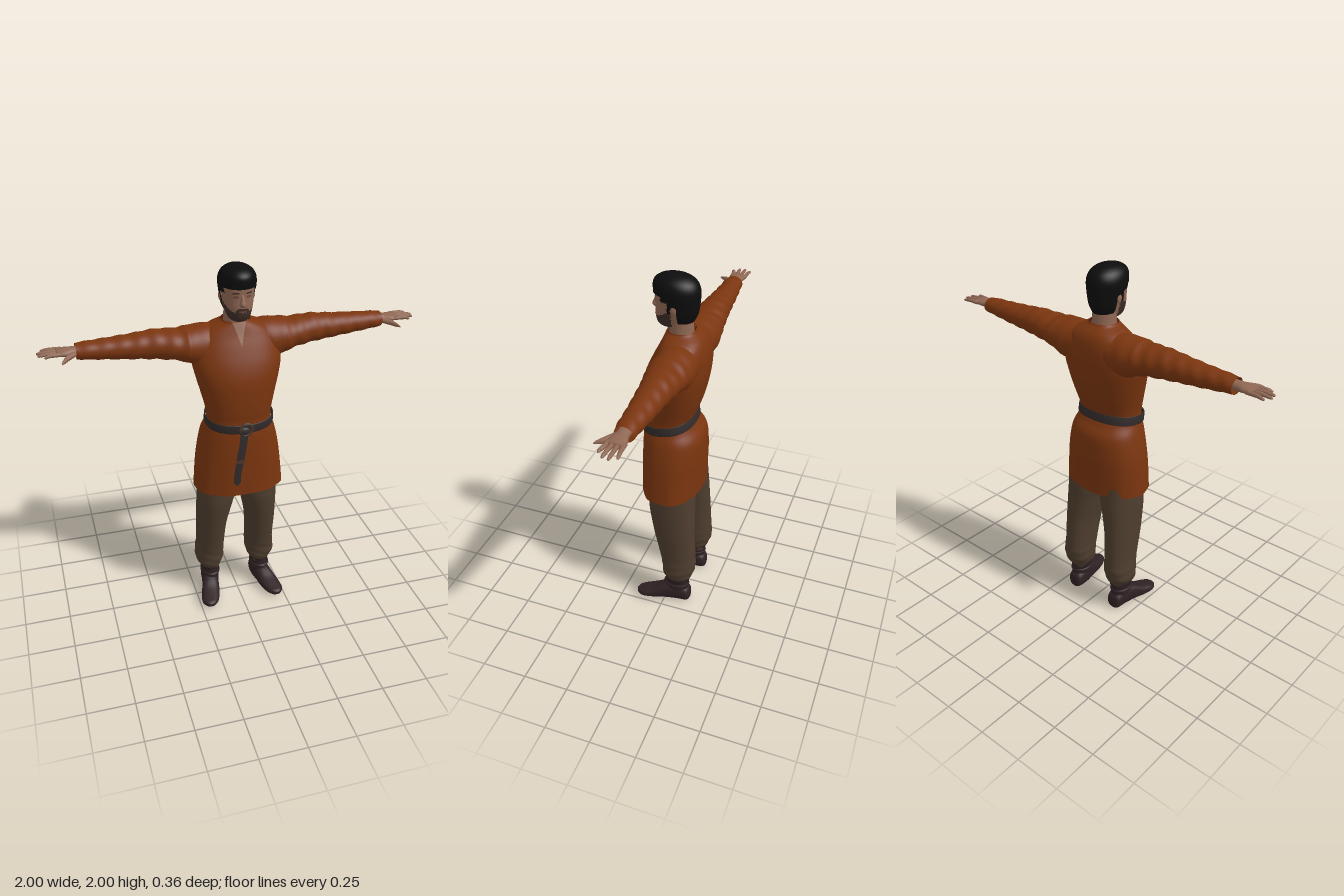
import * as THREE from 'three';

const material = (name, color, side = THREE.FrontSide) => {
  const m = new THREE.MeshStandardMaterial({ color, side });
  m.name = name;
  return m;
};

function makeMesh(name, mat, pos, idx) {
  const g = new THREE.BufferGeometry();
  g.setAttribute('position', new THREE.Float32BufferAttribute(pos, 3));
  g.setIndex(idx);
  g.computeVertexNormals();
  const mesh = new THREE.Mesh(g, mat);
  mesh.name = name;
  return mesh;
}

// Catmull-Rom refinement of a short list of cross-sections
function smooth(rows, steps = 6) {
  const out = [];
  const row = i => rows[Math.max(0, Math.min(rows.length - 1, i))];
  for (let i = 0; i < rows.length - 1; i++) {
    for (let k = 0; k < steps; k++) {
      const f = k / steps;
      out.push(row(i).map((p1, c) => {
        const p0 = row(i - 1)[c], p2 = row(i + 1)[c], p3 = row(i + 2)[c];
        return p1 + 0.5 * f * (p2 - p0 + f * (2 * p0 - 5 * p1 + 4 * p2 - p3 + f * (3 * (p1 - p2) + p3 - p0)));
      }));
    }
  }
  out.push(rows[rows.length - 1]);
  return out;
}

// Superellipse loft. Row: [position on axis, centre p, radius p, max q, min q]
// pick(x, y, z) returns a material index, or -1 to leave a face out
function loft(name, mats, rows, { axis = 'y', n = 2, seg = 32, steps = 6, caps = true, fold = () => 0, pick = () => 0 } = {}) {
  const place = { x: (t, p, q) => [t, p, q], y: (t, p, q) => [p, t, q], z: (t, p, q) => [p, q, t] }[axis];
  const rings = smooth(rows, steps), pos = [];
  const pw = v => Math.sign(v) * Math.abs(v) ** (2 / n);
  for (const [t, cp, rp, q1, q0] of rings) {
    for (let j = 0; j < seg; j++) {
      const a = j / seg * Math.PI * 2, s = 1 + fold(a, t);
      pos.push(...place(t, cp + rp * s * pw(Math.cos(a)), (q1 + q0) / 2 + (q1 - q0) / 2 * s * pw(Math.sin(a))));
    }
  }
  const faces = [mats].flat().map(() => []);
  const flip = (axis === 'y') !== (rings[0][0] > rings[rings.length - 1][0]);
  const tri = (a, b, c) => {
    const mid = k => (pos[a * 3 + k] + pos[b * 3 + k] + pos[c * 3 + k]) / 3;
    const m = pick(mid(0), mid(1), mid(2));
    if (m >= 0) faces[m].push(a, ...(flip ? [c, b] : [b, c]));
  };
  for (let i = 0; i < rings.length - 1; i++) {
    for (let j = 0; j < seg; j++) {
      const a = i * seg + j, b = i * seg + (j + 1) % seg;
      tri(a, b, a + seg);
      tri(b, b + seg, a + seg);
    }
  }
  for (const end of caps ? [0, rings.length - 1] : []) {
    const [t, cp, , q1, q0] = rings[end], c = pos.length / 3;
    pos.push(...place(t, cp, (q1 + q0) / 2));
    for (let j = 0; j < seg; j++) {
      const a = end * seg + j, b = end * seg + (j + 1) % seg;
      tri(...(end ? [a, b, c] : [b, a, c]));
    }
  }
  const mesh = makeMesh(name, mats, pos, faces.flat());
  let start = 0;
  faces.forEach((f, i) => { mesh.geometry.addGroup(start, f.length, i); start += f.length; });
  return mesh;
}

// Thin strip lying on the front of a vertical loft. Outline: [y, x0, x1], top to bottom
function strip(name, mat, rows, n, outline, lift) {
  const rings = smooth(rows), pts = smooth(outline), pos = [], idx = [], cols = 8;
  pts.forEach(([y, x0, x1], k) => {
    const i = Math.max(1, rings.findIndex(r => r[0] >= y));
    const f = (y - rings[i - 1][0]) / (rings[i][0] - rings[i - 1][0]);
    const [, cx, rx, q1, q0] = rings[i].map((v, c) => rings[i - 1][c] + (v - rings[i - 1][c]) * f);
    for (let j = 0; j <= cols; j++) {
      const x = x0 + (x1 - x0) * j / cols, u = Math.min(1, Math.abs((x - cx) / rx));
      pos.push(x, y, (q1 + q0) / 2 + (q1 - q0) / 2 * (1 - u ** n) ** (1 / n) + lift);
      const a = k * (cols + 1) + j, c = a + cols + 1;
      if (j < cols && k < pts.length - 1) idx.push(a, c, a + 1, a + 1, c, c + 1);
    }
  });
  return makeMesh(name, mat, pos, idx);
}

export function createModel() {
  const root = new THREE.Group();
  root.name = 'man';
  const add = (...m) => root.add(...m);
  const cloth = material('rust cloth', 0x7a350f, THREE.DoubleSide);
  const wool = material('brown wool', 0x4e3d2e);
  const skin = material('skin', 0x8f6753);
  const lid = material('shaded skin', 0x6a493b);
  const beard = material('beard', 0x3e2d27);
  const hair = material('black hair', 0x0d0d0d, THREE.DoubleSide);
  const leather = material('boot leather', 0x2f2123);
  const strap = material('belt leather', 0x322b2b, THREE.DoubleSide);
  const fitting = material('belt fitting', 0x4b372c);

  // Tunic body
  const tunic = [
    [0.76, 0.003, 0.247, 0.16, -0.165], [0.9, 0, 0.235, 0.16, -0.168], [1.0, 0, 0.222, 0.16, -0.17],
    [1.1, 0, 0.2, 0.158, -0.162], [1.16, 0, 0.178, 0.152, -0.125], [1.2, 0, 0.172, 0.15, -0.108],
    [1.25, 0, 0.178, 0.155, -0.122], [1.33, 0, 0.197, 0.157, -0.148], [1.42, 0, 0.22, 0.152, -0.168],
    [1.5, 0, 0.235, 0.13, -0.177], [1.58, 0, 0.225, 0.095, -0.177], [1.64, 0, 0.19, 0.065, -0.165],
    [1.675, 0, 0.14, 0.05, -0.145], [1.7, 0, 0.085, 0.04, -0.115], [1.712, 0, 0.075, 0.035, -0.105]];
  add(loft('tunic', cloth, tunic, {
    n: 2.3, seg: 64, caps: false, fold: (a, y) => 0.012 * Math.sin(a * 9 + y * 5) * Math.max(0, (1.1 - y) / 0.34) }));
  add(strip('neckOpening', skin, tunic, 2.3, [[1.71, -0.036, 0.036], [1.67, -0.022, 0.022], [1.6, -0.001, 0.001]], 0.004));

  // Belt with ring, knot and hanging tail
  const belt = loft('belt', strap, [
    [-0.024, 0, 0.181, 0.163, -0.117], [-0.021, 0, 0.185, 0.168, -0.121],
    [0.021, 0, 0.183, 0.166, -0.119], [0.024, 0, 0.179, 0.161, -0.115]], { n: 2.3, seg: 64, steps: 2, caps: false });
  belt.position.y = 1.188;
  belt.rotation.x = 0.14;
  const ring = new THREE.Mesh(new THREE.TorusGeometry(0.033, 0.007, 8, 24), fitting);
  ring.name = 'beltRing';
  ring.position.set(0.002, 1.165, 0.168);
  const knot = new THREE.Mesh(new THREE.SphereGeometry(0.03, 16, 12), strap);
  knot.name = 'beltKnot';
  knot.scale.set(1.1, 0.8, 0.5);
  knot.position.set(-0.008, 1.155, 0.163);
  add(belt, ring, knot);
  add(strip('beltTail', strap, tunic, 2.3, [[1.15, -0.03, 0.016], [1.1, -0.032, 0.01], [1.0, -0.048, -0.006],
    [0.9, -0.063, -0.025], [0.85, -0.064, -0.028], [0.828, -0.05, -0.042]], 0.008));
  add(strip('tailFitting', fitting, tunic, 2.3, [[0.985, -0.052, -0.007], [0.965, -0.054, -0.01]], 0.011));

  // Head, with the jaw coloured as beard
  const head = [
    [1.718, 0, 0.025, 0.055, -0.02], [1.732, 0, 0.048, 0.082, -0.05], [1.755, 0, 0.061, 0.095, -0.07],
    [1.8, 0, 0.073, 0.1, -0.09], [1.85, 0, 0.08, 0.098, -0.1], [1.9, 0, 0.083, 0.1, -0.11],
    [1.95, 0, 0.075, 0.09, -0.098], [1.975, 0, 0.05, 0.06, -0.07], [1.985, 0, 0.015, 0.02, -0.025]];
  add(loft('head', [skin, beard], head, {
    n: 2.2, seg: 64, pick: (x, y, z) => (z > 0 && y < 1.778 + (0.09 - z) * 0.55 ? 1 : 0) }));
  add(loft('nose', skin, [[1.808, 0, 0.01, 0.104, 0.08], [1.822, 0, 0.016, 0.121, 0.08],
    [1.845, 0, 0.011, 0.113, 0.08], [1.872, 0, 0.009, 0.1, 0.08]], { seg: 16 }));
  add(strip('moustache', beard, head, 2.2, [[1.803, -0.018, 0.018], [1.796, -0.03, 0.03], [1.778, -0.036, 0.036]], 0.003));
  add(strip('mouth', lid, head, 2.2, [[1.791, -0.02, 0.02], [1.783, -0.018, 0.018]], 0.005));
  add(loft('neck', skin, [[1.66, 0, 0.07, 0.025, -0.1], [1.71, 0, 0.064, 0.028, -0.095], [1.79, 0, 0.06, 0.03, -0.09]]));

  // Short hair cap, cut away around the face
  const hairline = z => (z > 0.05 ? 1.9 : z > 0.015 ? 1.875 : z > -0.01 ? 1.82 : z > -0.035 ? 1.85 : 1.76);
  add(loft('hair', hair, [
    [1.76, 0, 0.062, 0.06, -0.098], [1.8, 0, 0.08, 0.09, -0.117], [1.86, 0, 0.09, 0.105, -0.126],
    [1.92, 0, 0.096, 0.112, -0.127], [1.96, 0, 0.085, 0.108, -0.11], [1.985, 0, 0.058, 0.078, -0.075],
    [1.998, 0, 0.02, 0.03, -0.03]], { seg: 64, pick: (x, y, z) => (y < hairline(z) ? -1 : 0) }));

  for (const s of [1, -1]) {
    const side = s > 0 ? 'left' : 'right';
    const part = (label, mat, rows, opts) => add(loft(side + label, mat, rows, opts));
    const mirrorX = rows => rows.map(r => [s * r[0], ...r.slice(1)]);
    const mirrorC = rows => rows.map(r => [r[0], s * r[1], ...r.slice(2)]);
    const span = (y, a, b) => (s > 0 ? [y, a, b] : [y, -b, -a]);

    // Eye, brow and ear
    add(strip(side + 'Eye', lid, head, 2.2, [span(1.867, 0.024, 0.04), span(1.862, 0.019, 0.046), span(1.856, 0.024, 0.04)], 0.002));
    add(strip(side + 'Brow', beard, head, 2.2, [span(1.885, 0.02, 0.045), span(1.877, 0.016, 0.052)], 0.003));
    const ear = new THREE.Mesh(new THREE.SphereGeometry(0.027, 16, 12), skin);
    ear.name = side + 'Ear';
    ear.scale.set(0.35, 1, 0.65);
    ear.position.set(s * 0.083, 1.84, -0.018);
    add(ear);

    // Sleeve with soft creases
    part('Sleeve', cloth, mirrorX([
      [0.1, 1.58, 0.1, 0.04, -0.165], [0.19, 1.576, 0.107, 0.055, -0.17], [0.25, 1.583, 0.094, 0.055, -0.165],
      [0.31, 1.591, 0.08, 0.045, -0.157], [0.42, 1.601, 0.075, 0.022, -0.145], [0.52, 1.602, 0.065, 0.012, -0.135],
      [0.65, 1.604, 0.054, 0, -0.125], [0.76, 1.607, 0.045, -0.008, -0.115], [0.81, 1.608, 0.04, -0.015, -0.11]]), {
      axis: 'x', seg: 40, steps: 10, caps: false,
      fold: (a, x) => (Math.abs(x) > 0.25 ? 0.03 : 0.01) * Math.sin(Math.abs(x) * 75 + 2 * Math.sin(a + 1)) });

    // Hand: palm, four fingers and thumb
    part('Palm', skin, mirrorX([[0.77, 1.61, 0.026, -0.03, -0.09], [0.82, 1.61, 0.024, -0.028, -0.092],
      [0.86, 1.612, 0.02, -0.015, -0.103], [0.905, 1.613, 0.013, -0.016, -0.107]]), { axis: 'x', seg: 24 });
    [[-0.098, -0.106, 0.98], [-0.074, -0.073, 1], [-0.05, -0.042, 0.995], [-0.027, -0.012, 0.965]].forEach(([z0, z1, tip], i) =>
      part('Finger' + (i + 1), skin, mirrorX([[0.88, 1.613, 0.011, z0 + 0.012, z0 - 0.012],
        [0.94, 1.614, 0.01, (z0 + z1) / 2 + 0.01, (z0 + z1) / 2 - 0.01],
        [tip - 0.01, 1.61, 0.007, z1 + 0.008, z1 - 0.008], [tip, 1.609, 0.003, z1 + 0.003, z1 - 0.003]]), { axis: 'x', seg: 12, steps: 4 }));
    part('Thumb', skin, mirrorX([[0.81, 1.606, 0.014, -0.02, -0.06], [0.85, 1.6, 0.015, 0.012, -0.03],
      [0.875, 1.594, 0.011, 0.036, 0.006], [0.888, 1.59, 0.004, 0.046, 0.034]]), { axis: 'x', seg: 12 });

    // Loose trouser leg gathered above the boot
    part('TrouserLeg', wool, mirrorC([
      [0.15, 0.15, 0.05, -0.005, -0.135], [0.172, 0.149, 0.056, 0, -0.14], [0.21, 0.153, 0.079, 0.012, -0.16],
      [0.27, 0.151, 0.082, 0.018, -0.174], [0.35, 0.147, 0.079, 0.035, -0.17], [0.5, 0.142, 0.085, 0.07, -0.162],
      [0.65, 0.125, 0.1, 0.1, -0.156], [0.73, 0.115, 0.108, 0.105, -0.152], [0.88, 0.11, 0.108, 0.11, -0.14]]), {
      seg: 40, n: 2.2, steps: 8,
      fold: (a, y) => 0.03 * Math.sin(y * 110 + 2 * Math.sin(a * 2)) * Math.max(0, (0.36 - y) / 0.2) });

    // Ankle boot: foot, shaft and tie
    part('BootFoot', leather, mirrorC([
      [-0.146, 0.15, 0.018, 0.06, 0.018], [-0.132, 0.15, 0.042, 0.095, 0.004], [-0.07, 0.152, 0.05, 0.12, 0],
      [0, 0.165, 0.05, 0.105, 0], [0.06, 0.18, 0.054, 0.075, 0.003], [0.12, 0.194, 0.049, 0.056, 0.008],
      [0.153, 0.198, 0.03, 0.047, 0.014], [0.165, 0.2, 0.008, 0.036, 0.022]]), { axis: 'z', n: 2.5, seg: 28 });
    part('BootShaft', leather, mirrorC([[0.05, 0.152, 0.048, 0.01, -0.138], [0.11, 0.152, 0.049, 0.004, -0.133],
      [0.15, 0.151, 0.053, 0, -0.137], [0.172, 0.151, 0.058, 0.003, -0.141]]), { seg: 28 });
    part('BootTie', leather, mirrorC([[0.112, 0.152, 0.05, 0.006, -0.134], [0.122, 0.152, 0.057, 0.012, -0.14],
      [0.132, 0.152, 0.051, 0.005, -0.136]]), { seg: 28 });
  }

  // Trouser seat under the tunic
  add(loft('trouserSeat', wool, [[0.72, 0, 0.06, 0.05, -0.1], [0.77, 0, 0.19, 0.105, -0.14], [0.95, 0, 0.19, 0.11, -0.13]], { n: 2.4 }));
  return root;
}
